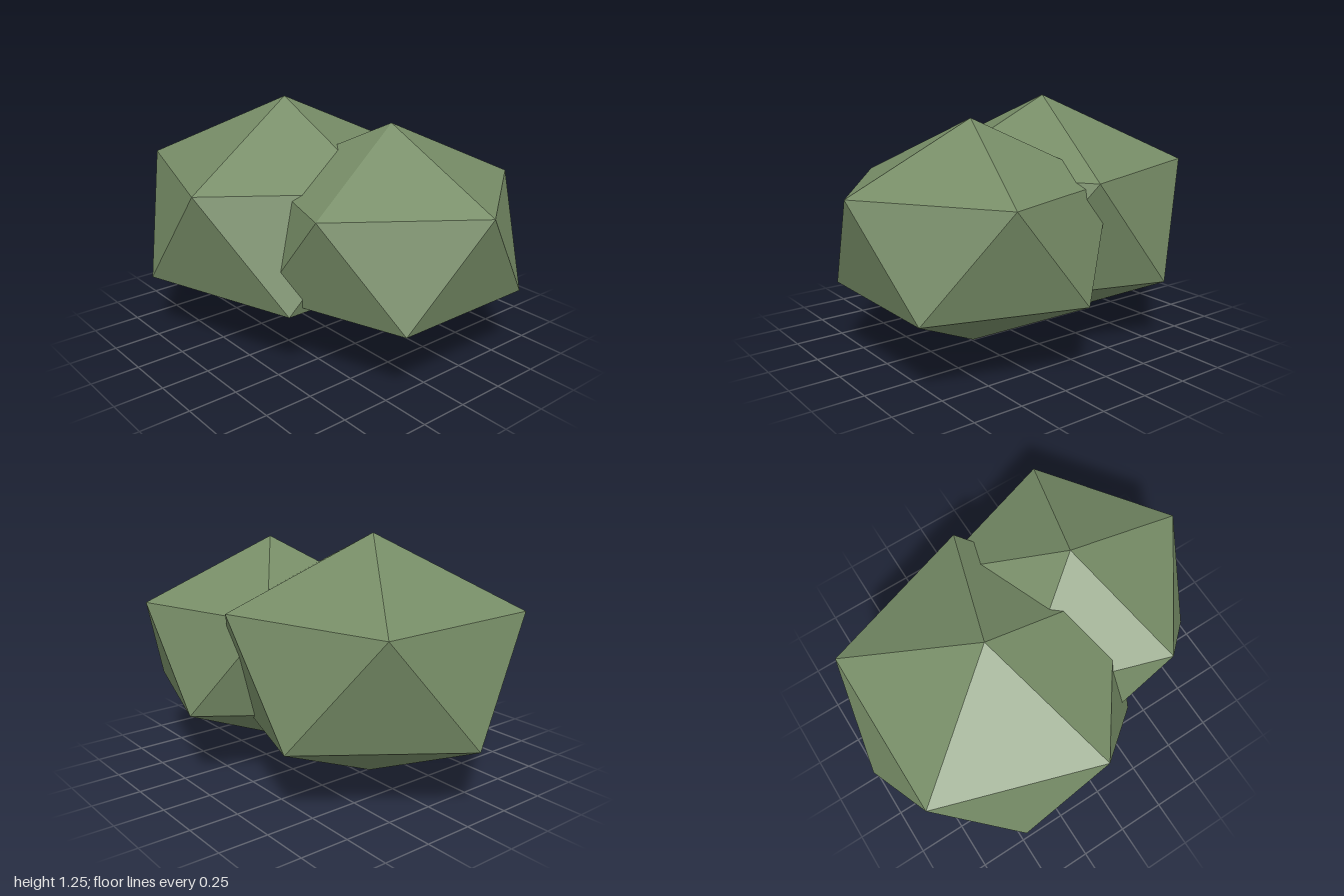
import * as THREE from 'three';

// Low-poly bush: two squashed icosahedra, each standing on a corner
export function createModel() {
  const group = new THREE.Group();
  group.name = 'bush';
  const leaf = new THREE.MeshStandardMaterial({ color: 0x768c66 });
  leaf.name = 'leaf green';
  leaf.flatShading = true;

  const addClump = (name, radius, x, y, z) => {
    const geometry = new THREE.IcosahedronGeometry(radius, 0);
    // Tip one corner straight up, with an upper-ring corner towards +x
    geometry.rotateZ(-Math.atan(2 / (1 + Math.sqrt(5))));
    geometry.scale(1, 0.75, 1);
    geometry.computeVertexNormals();
    const mesh = new THREE.Mesh(geometry, leaf);
    mesh.name = name;
    mesh.position.set(x, y, z);
    group.add(mesh);
  };

  addClump('largeFoliageClump', 0.83, -0.259, 0.6225, 0.06);
  addClump('smallFoliageClump', 0.742, 0.335, 0.625, -0.137);
  return group;
}
